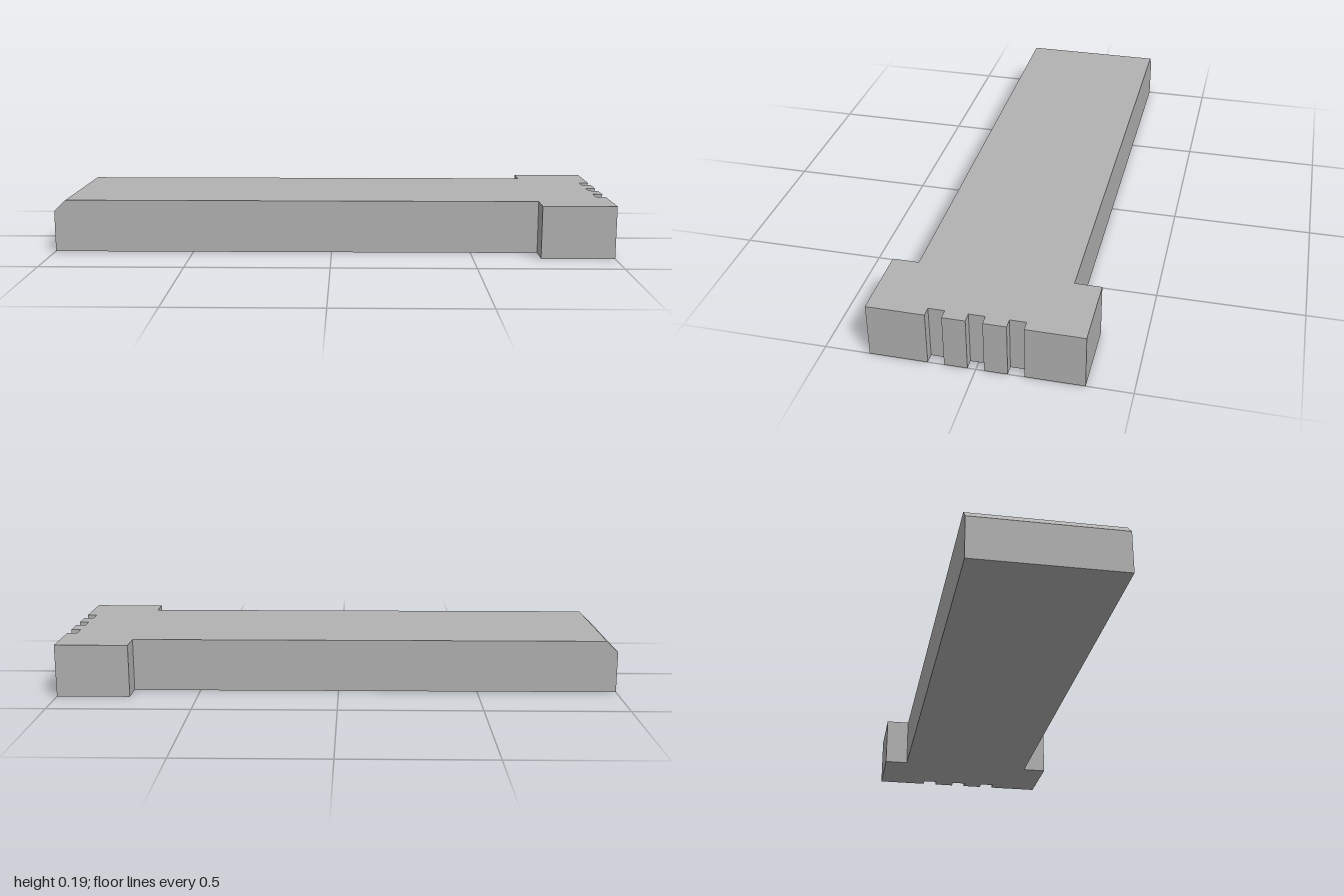
import * as THREE from 'three';

const HEIGHT = 0.188;
const NECK_X = 0.74;

const shapeFrom = (points) => new THREE.Shape(points.map(([x, y]) => new THREE.Vector2(x, y)));

const extrude = (points, depth) =>
  new THREE.ExtrudeGeometry(shapeFrom(points), { depth, bevelEnabled: false });

export function createModel() {
  const group = new THREE.Group();
  group.name = 'notchedBar';
  const grey = new THREE.MeshStandardMaterial({ color: 0xb2b2b2 });
  grey.name = 'grey';

  // Long bar: side profile with a chamfered top edge at the far end
  const halfWidth = 0.26;
  const barGeometry = extrude(
    [[-1, 0], [NECK_X, 0], [NECK_X, HEIGHT], [-0.958, HEIGHT], [-1, 0.148]],
    halfWidth * 2
  );
  barGeometry.translate(0, 0, -halfWidth);
  const bar = new THREE.Mesh(barGeometry, grey);
  bar.name = 'bar';
  group.add(bar);

  // Wider head: plan outline with three notches cut through the end face
  const headHalf = 0.35;
  const notchHalf = 0.027;
  const notchFloor = 0.965;
  const outline = [[NECK_X, -headHalf], [1, -headHalf]];
  for (const centre of [-0.13, 0, 0.13]) {
    outline.push(
      [1, centre - notchHalf], [notchFloor, centre - notchHalf],
      [notchFloor, centre + notchHalf], [1, centre + notchHalf]
    );
  }
  outline.push([1, headHalf], [NECK_X, headHalf]);
  const headGeometry = extrude(outline, HEIGHT);
  headGeometry.rotateX(-Math.PI / 2);
  const head = new THREE.Mesh(headGeometry, grey);
  head.name = 'notchedHead';
  group.add(head);

  return group;
}
